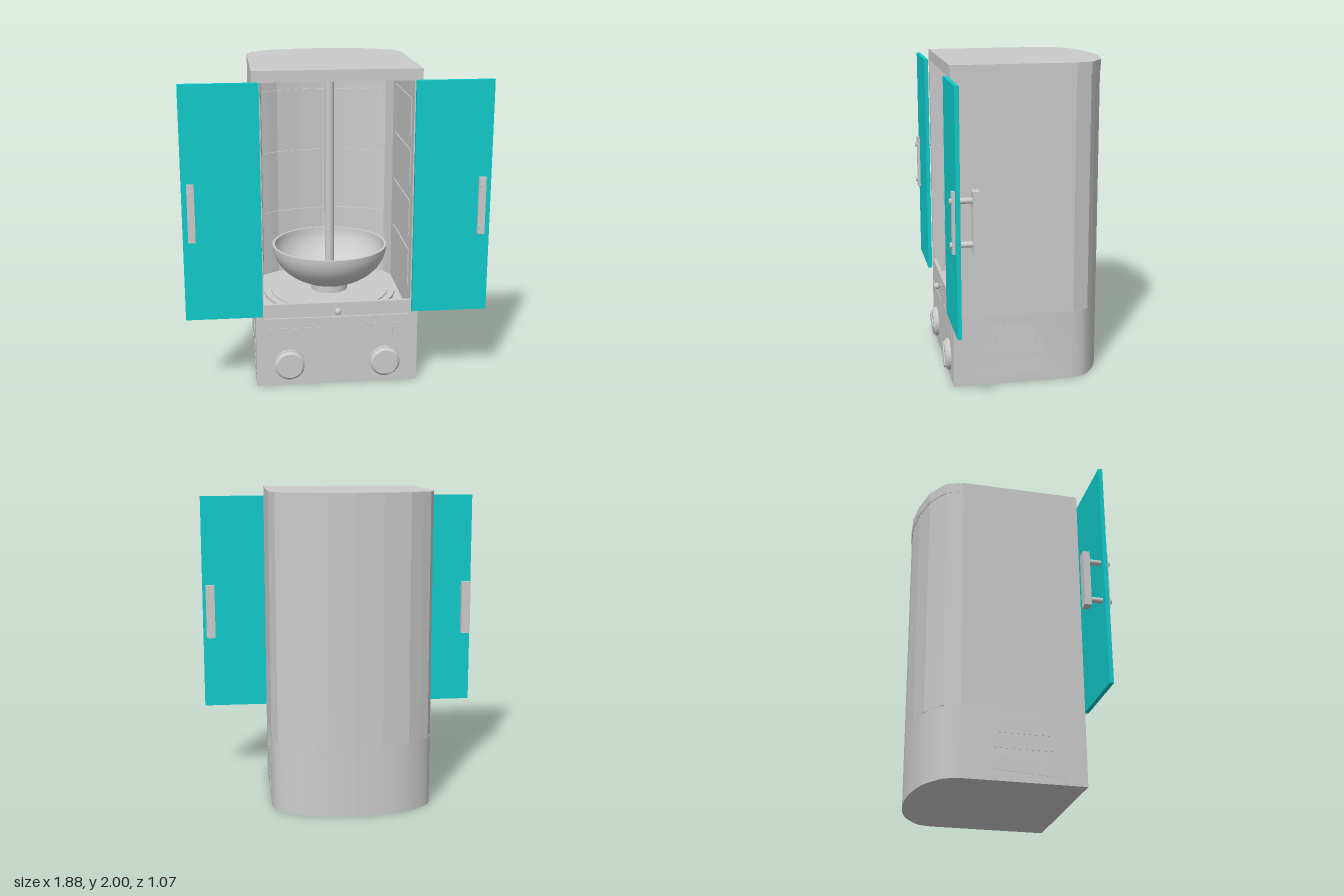
import * as THREE from 'three';
import { toCreasedNormals } from 'three/addons/utils/BufferGeometryUtils.js';

const grey = new THREE.MeshStandardMaterial({ color: 0xcccccc });
const greyDouble = new THREE.MeshStandardMaterial({ color: 0xcccccc, side: THREE.DoubleSide });
const cyan = new THREE.MeshStandardMaterial({ color: 0x11cccc });

// Right half of the outer and inner outlines in (x, z), front to middle of back
const OUTER = [[0.51, 0.47], [0.51, -0.29], [0.475, -0.39], [0.42, -0.43], [0.34, -0.48], [0.17, -0.52], [0, -0.535]];
const INNER = [[0.46, 0.47], [0.46, -0.27], [0.42, -0.36], [0.37, -0.39], [0.31, -0.43], [0.15, -0.47], [0, -0.49]];
const BACK_PANEL = [[0.41, -0.366], ...INNER.slice(3)];

const mirrored = (half) => [...half, ...half.slice(0, -1).reverse().map(([x, z]) => [-x, z])];

export function createModel() {
  const model = new THREE.Group();

  function add(name, geometry, x = 0, y = 0, z = 0, material = grey, parent = model) {
    const mesh = new THREE.Mesh(geometry, material);
    mesh.name = name;
    mesh.position.set(x, y, z);
    parent.add(mesh);
    return mesh;
  }
  const box = (w, h, d) => new THREE.BoxGeometry(w, h, d);
  const rod = (r, length, r2 = r) => new THREE.CylinderGeometry(r, r2, length, 32);

  // Upright prism from a closed plan outline given as (x, z) points
  function prism(points, height) {
    const shape = new THREE.Shape(points.map(([x, z]) => new THREE.Vector2(x, -z)));
    return new THREE.ExtrudeGeometry(shape, { depth: height, bevelEnabled: false }).rotateX(-Math.PI / 2);
  }

  // Base cabinet with a smooth rounded back
  const curve = new THREE.SplineCurve(
    [[0.51, -0.28], [0.475, -0.38], [0.34, -0.475], [0.17, -0.52], [0, -0.535]].map(([x, z]) => new THREE.Vector2(x, z)));
  const smoothHalf = [[0.51, 0.47], ...curve.getPoints(16).map((p) => [p.x, p.y])];
  add('base', toCreasedNormals(prism(mirrored(smoothHalf), 0.45), 0.5));

  // Open-fronted shell and roof
  add('shell', prism([...mirrored(OUTER), ...mirrored(INNER).reverse()], 1.48), 0, 0.45);
  add('roof', prism(mirrored(OUTER.map(([x, z]) => [x, z < 0 ? z - 0.004 : z])), 0.07), 0, 1.93);

  // Panels following the curved back wall
  const front = mirrored(BACK_PANEL).map(([x, z]) => [x, z + 0.01]);
  const rear = mirrored(BACK_PANEL).map(([x, z]) => [x, z - 0.01]).reverse();
  for (const y of [0.63, 1.05, 1.47]) add('backPanel', prism([...front, ...rear], 0.265), 0, y);

  for (const side of [-1, 1]) {
    // Panels on the inner side walls
    for (let i = 0; i < 4; i++) add('sidePanel', box(0.01, 0.23, 0.56), side * 0.459, 0.735 + i * 0.32, 0.11);

    // Raised plates on the outer sides of the base, outlined in (z, y)
    const plates = [
      [[0.255, 0.295], [0.22, 0.385], [-0.03, 0.385], [-0.065, 0.295]],
      [[0.28, 0.2], [0.235, 0.28], [-0.08, 0.28], [-0.115, 0.2]],
      [[0.34, 0.04], [0.31, 0.09], [-0.06, 0.15], [-0.12, 0.07]],
    ];
    for (const plate of plates) {
      const shape = new THREE.Shape(plate.map(([z, y]) => new THREE.Vector2(-z, y)));
      const geometry = new THREE.ExtrudeGeometry(shape, { depth: 0.004, bevelEnabled: false }).rotateY(Math.PI / 2);
      add('sidePlate', geometry, side * 0.51 - 0.002);
    }

    // Open door with a through-bolted handle
    const door = new THREE.Group();
    door.name = side > 0 ? 'leftDoor' : 'rightDoor';
    model.add(door);
    add('doorPanel', box(0.472, 1.455, 0.025), side * 0.702, 1.207, 0.492, cyan, door);
    add('handleGrip', box(0.06, 0.36, 0.042), side * 0.883, 1.16, 0.384, grey, door);
    add('handlePlate', box(0.045, 0.36, 0.018), side * 0.883, 1.16, 0.513, grey, door);
    for (const y of [1.03, 1.285]) {
      add('handleBolt', rod(0.017, 0.135).rotateX(Math.PI / 2), side * 0.883, y, 0.467, grey, door);
    }

    // Control knob with a slanted grip bar
    const knob = new THREE.Group();
    knob.name = 'knob';
    knob.position.set(side * 0.303, 0.14, 0.47);
    model.add(knob);
    add('knobRing', rod(0.1, 0.02).rotateX(Math.PI / 2), 0, 0, 0.01, grey, knob);
    add('knobFace', rod(0.08, 0.014, 0.095).rotateX(Math.PI / 2), 0, 0, 0.027, grey, knob);
    add('knobGrip', box(0.158, 0.045, 0.012), 0, 0, 0.034, grey, knob).rotation.z = side > 0 ? -0.95 : -0.4;
  }

  // Display and switches on the front of the base
  add('display', box(0.395, 0.095, 0.008), -0.28, 0.337, 0.47);
  for (const x of [0.13, 0.265, 0.4]) add('switch', box(0.1, 0.11, 0.008), x, 0.345, 0.47);

  // Drawer front with a ball knob
  add('drawerFront', box(0.92, 0.09, 0.022), 0, 0.5, 0.46);
  add('drawerStem', rod(0.007, 0.03).rotateX(Math.PI / 2), 0, 0.5, 0.48);
  add('drawerKnob', new THREE.SphereGeometry(0.021, 20, 14), 0, 0.5, 0.505);

  // Stepped turntable
  add('turntable', rod(0.435, 0.02), 0, 0.456);
  add('turntableStep', rod(0.39, 0.03), 0, 0.46);
  add('bowlFoot', rod(0.12, 0.06), 0, 0.49);

  // Thin-walled bowl and the central spit
  const profile = [];
  const steps = 16;
  for (let i = 0; i <= steps; i++) {
    const a = (i / steps) * Math.PI / 2;
    profile.push(new THREE.Vector2(0.377 * Math.sin(a), 0.785 - 0.275 * Math.cos(a)));
  }
  for (let i = steps; i >= 0; i--) {
    const a = (i / steps) * Math.PI / 2;
    profile.push(new THREE.Vector2(0.36 * Math.sin(a), 0.785 - 0.26 * Math.cos(a)));
  }
  add('bowl', toCreasedNormals(new THREE.LatheGeometry(profile, 40), 0.6), 0, 0, 0, greyDouble);
  add('spit', rod(0.03, 1.43), 0, 1.22);

  return model;
}
